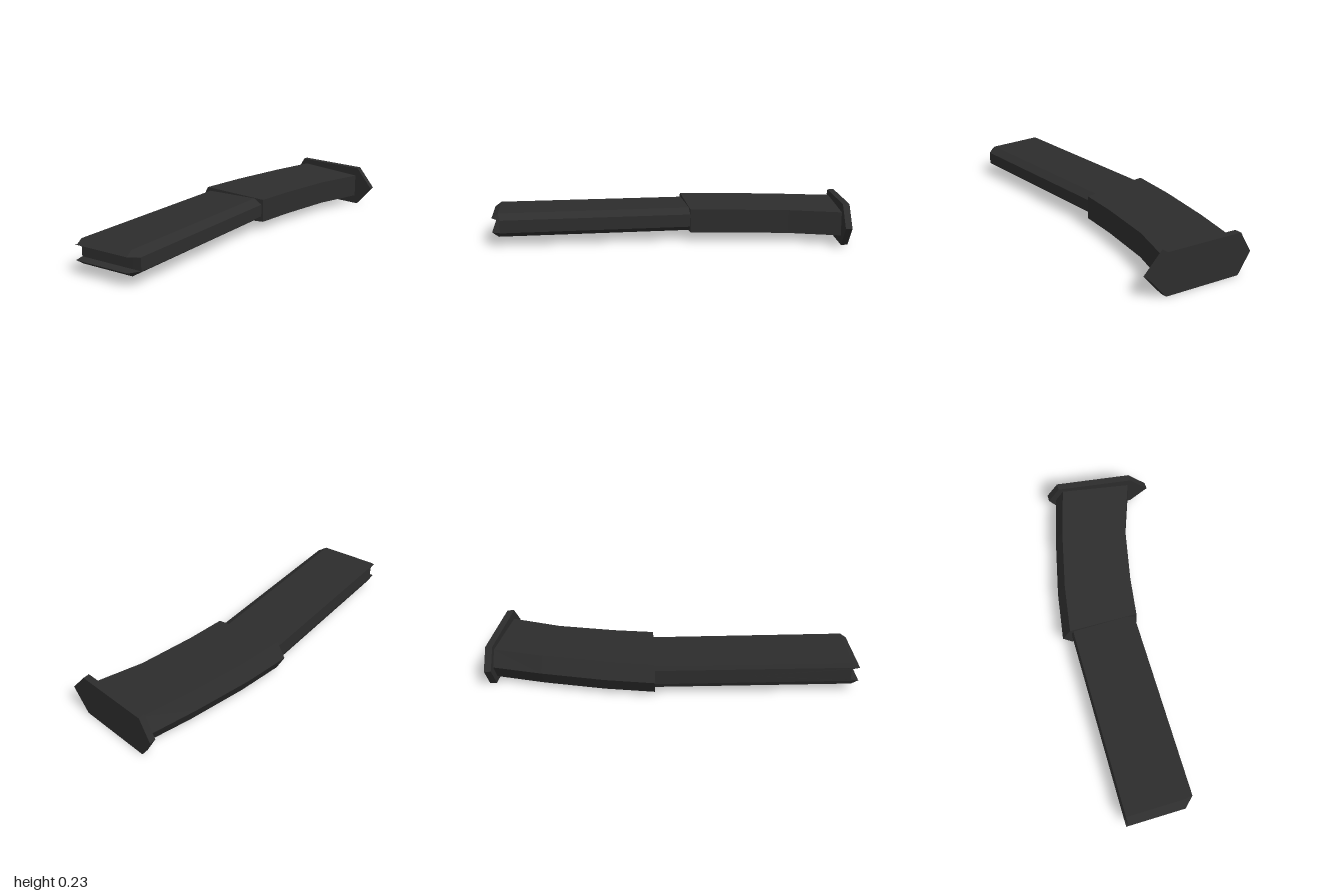
import * as THREE from 'three';

const darkMetal = new THREE.MeshStandardMaterial({ color: 0x2d2d2d });
darkMetal.name = 'darkMetal';

// Skin a list of equal-length closed rings, cap both ends, flat normals
function loft(name, rings) {
  const tris = [];
  const n = rings[0].length;
  for (let r = 0; r < rings.length - 1; r++) {
    for (let i = 0; i < n; i++) {
      const j = (i + 1) % n;
      const a = rings[r][i], b = rings[r][j], c = rings[r + 1][j], d = rings[r + 1][i];
      tris.push([a, b, c], [a, c, d]);
    }
  }
  const cap = (ring, flip) => {
    // fan about the middle of the ring's bounds
    const box = new THREE.Box3().setFromPoints(ring);
    const mid = box.getCenter(new THREE.Vector3());
    ring.forEach((p, i) => {
      const q = ring[(i + 1) % n];
      tris.push(flip ? [mid, q, p] : [mid, p, q]);
    });
  };
  cap(rings[0], true);
  cap(rings[rings.length - 1], false);

  // Turn all faces outward if the enclosed volume is negative
  let volume = 0;
  for (const [a, b, c] of tris) volume += a.dot(new THREE.Vector3().crossVectors(b, c));
  const points = tris.flatMap(([a, b, c]) => (volume < 0 ? [a, c, b] : [a, b, c]));
  const geometry = new THREE.BufferGeometry().setFromPoints(points);
  geometry.computeVertexNormals();
  const mesh = new THREE.Mesh(geometry, darkMetal);
  mesh.name = name;
  return mesh;
}

const MID = 0.115; // height of the symmetry plane
const V = (x, y, z) => new THREE.Vector3(x, y, z);

// Add the mirrored lower half to an upper half-ring
const mirrorY = (half) => [
  ...half,
  ...[...half].reverse().map((p) => V(p.x, 2 * MID - p.y, p.z)),
];

// Straight upper body: slices across x, each with a notched front end
function upperBody() {
  const slice = (x, xBack, top, zTop, yTip, zTip, yNotch, zNotch) =>
    mirrorY([V(xBack, top, -0.15), V(x, top, zTop), V(x, yTip, zTip), V(x, yNotch, zNotch)]);
  return loft('upperBody', [
    slice(-0.322, -0.313, 0.156, 0.965, 0.154, 1, 0.147, 0.958),
    slice(-0.312, -0.303, 0.18, 0.965, 0.155, 1, 0.147, 0.958),
    slice(0.004, 0.004, 0.18, 0.965, 0.155, 1, 0.147, 0.958),
    slice(0.051, 0.051, 0.15, 0.95, 0.149, 0.955, 0.148, 0.955),
  ]);
}

// Curved sleeve: wedge-edged sections between a left and a right rail
function curvedSleeve() {
  const rails = [
    [-0.368, -0.088, 0.063, -0.088],
    [-0.325, -0.36, 0.093, -0.307],
    [-0.25, -0.69, 0.156, -0.624],
    [-0.177, -0.96, 0.254, -0.898],
  ];
  return loft('curvedSleeve', rails.map(([x0, z0, x1, z1]) => {
    const at = (t, y) => V(x0 + (x1 - x0) * t, y, z0 + (z1 - z0) * t);
    return [
      at(0, MID), at(0.11, 0.2), at(1, 0.18),
      at(1, 0.05), at(0.11, 0.03),
    ];
  }));
}

// Pointed end plate, slanted across x
function endPlate() {
  const outline = [
    [-0.22, MID], [-0.153, 0.229], [0.267, 0.229],
    [0.367, MID], [0.267, 0], [-0.153, 0],
  ];
  return loft('endPlate', [-0.963, -1].map((z) =>
    outline.map(([x, y]) => V(x, y, z + (x + 0.22) * 0.145))));
}

export function createModel() {
  const model = new THREE.Group();
  model.name = 'curvedMagazine';
  model.add(upperBody(), curvedSleeve(), endPlate());
  return model;
}
